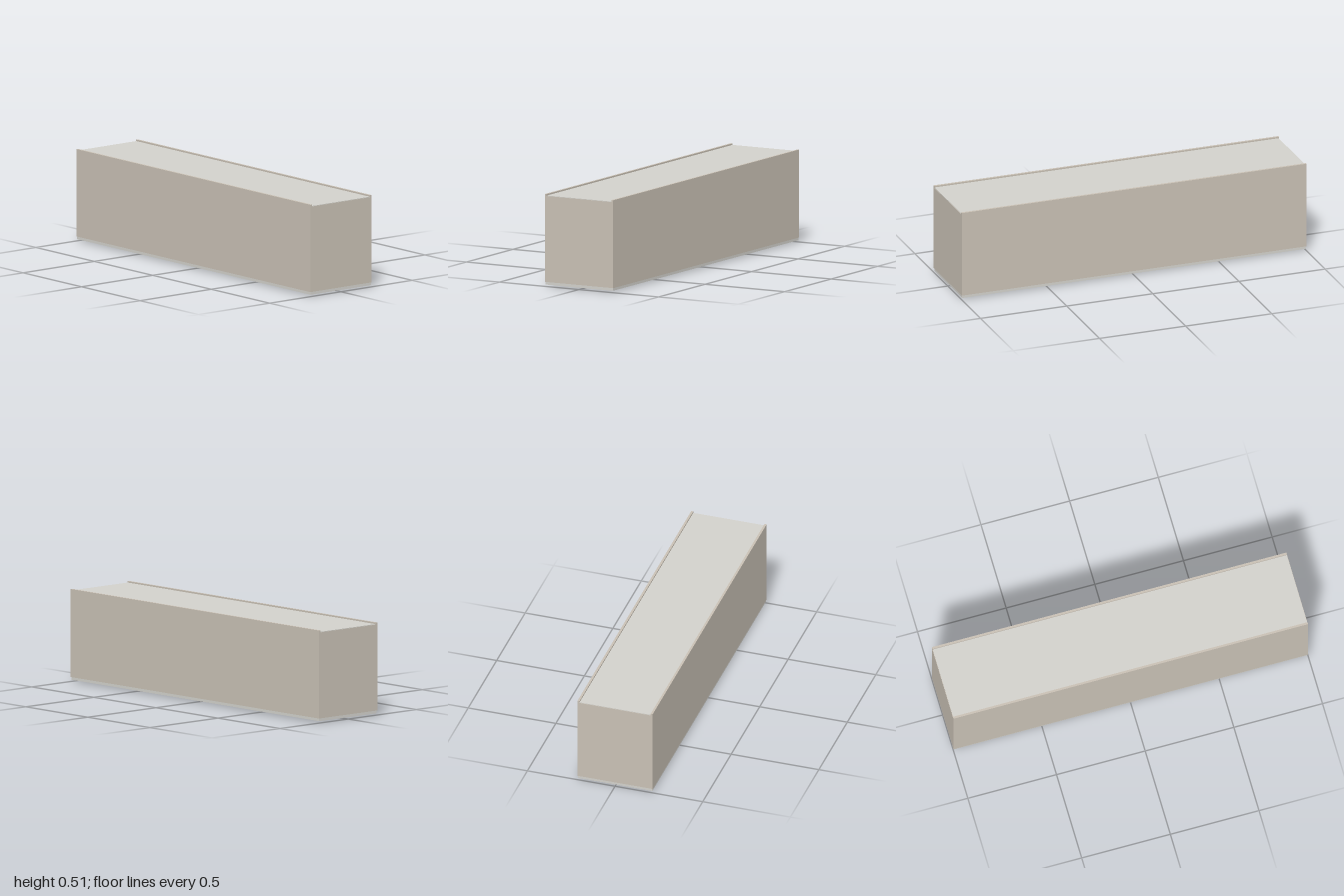
import * as THREE from 'three';

const material = (color) => new THREE.MeshStandardMaterial({ color });

export function createModel() {
  const group = new THREE.Group();
  const shell = material(0xc8c0b4);
  const panel = material(0xd2d1cb);
  const dark = material(0x77757c);

  const add = (name, geometry, mat) => {
    const mesh = new THREE.Mesh(geometry, mat);
    mesh.name = name;
    group.add(mesh);
    return mesh;
  };
  // Box given by its size and its bottom height
  const box = (name, w, h, d, y, z, mat) =>
    add(name, new THREE.BoxGeometry(w, h, d), mat).position.set(0, y + h / 2, z);

  // Long housing: one cross-section with a raised lip along each side
  const outer = 0.215, inner = 0.203, bottom = 0.025, deck = 0.497, lip = 0.508;
  const section = new THREE.Shape([
    [-outer, bottom], [outer, bottom], [outer, lip], [inner, lip],
    [inner, deck], [-inner, deck], [-inner, lip], [-outer, lip],
  ].map(([x, y]) => new THREE.Vector2(x, y)));
  const housing = new THREE.ExtrudeGeometry(section, { depth: 2, bevelEnabled: false });
  housing.translate(0, 0, -1);
  add('housing', housing, shell);

  // Thin sheet lying between the lips
  box('topPanel', inner * 2, 0.003, 1.996, deck, 0, panel);

  // Slightly inset panel underneath, with a small pull near the front
  box('bottomPanel', 0.424, 0.015, 1.994, 0.01, 0, panel);
  box('pullTab', 0.08, 0.01, 0.012, 0, 0.935, dark);

  return group;
}
